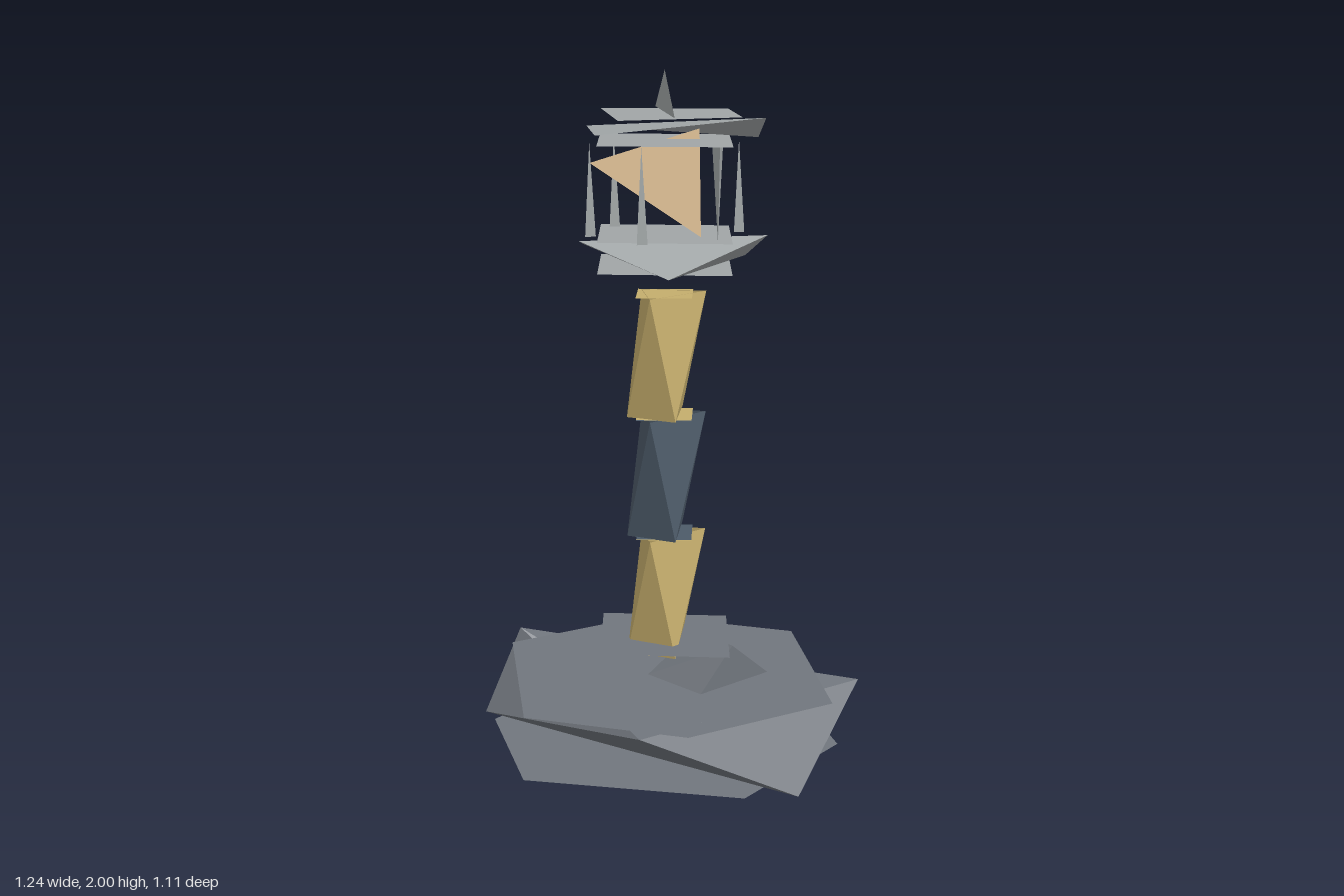
import * as THREE from 'three';

const material = (color) => new THREE.MeshStandardMaterial({ color, flatShading: true, side: THREE.DoubleSide });
const slate = material(0x71767d);
const steel = material(0xa0a5a6);
const sand = material(0xc4ad6c);
const navy = material(0x4c5a68);
const amber = material(0xceb083);

// Faceted shell from a few corner points and triangles between them
function facets(name, points, triangles, mat) {
  const geometry = new THREE.BufferGeometry();
  geometry.setAttribute('position', new THREE.Float32BufferAttribute(triangles.flat().flatMap((i) => points[i]), 3));
  geometry.computeVertexNormals();
  const mesh = new THREE.Mesh(geometry, mat);
  mesh.name = name;
  return mesh;
}

// Flat horizontal plate from [x, z] corners
function plate(name, corners, y, mat) {
  const fan = [];
  for (let i = 1; i < corners.length - 1; i++) fan.push([0, i + 1, i]);
  return facets(name, corners.map(([x, z]) => [x, y, z]), fan, mat);
}

const diamond = (rx, rz = rx) => [[rx, 0], [0, -rz], [-rx, 0], [0, rz]];

function createBase() {
  const base = new THREE.Group();
  base.name = 'base';
  const hexagon = [[0, -0.555], [-0.43, -0.32], [-0.525, 0.17], [0, 0.55], [0.43, 0.31], [0.525, -0.18]];
  base.add(plate('baseTop', hexagon, 0.19, slate));
  base.add(plate('baseBottom', hexagon.map(([x, z]) => [x, -z]).reverse(), 0, slate));
  // Skewed skirt: three upper and three lower corners
  base.add(facets('baseSkirt', [
    [-0.62, 0.19, 0.06], [0.35, 0.19, 0.42], [0.44, 0.19, -0.385],
    [-0.5, 0, 0.3], [-0.3, 0, -0.465], [0.62, 0, 0.06],
  ], [[1, 3, 5], [0, 3, 1], [1, 5, 2], [0, 4, 3], [0, 5, 4], [0, 2, 5]], slate));
  return base;
}

function createPlinth() {
  const plinth = new THREE.Group();
  plinth.name = 'plinth';
  plinth.add(plate('plinthTop', diamond(0.28, 0.26), 0.31, slate));
  plinth.add(facets('plinthSide', [
    [-0.02, 0.19, 0.05], [0.21, 0.19, 0.05], [0.21, 0.31, -0.08],
    [-0.05, 0.27, -0.17], [-0.12, 0.19, -0.23], [0.21, 0.19, -0.23],
  ], [[0, 1, 2], [0, 2, 3], [0, 3, 4], [1, 5, 2], [2, 5, 3]], slate));
  return plinth;
}

// Tower block: triangular antiprism with diamond end plates
function createTowerBlock(name, bottom, top, mat) {
  const block = new THREE.Group();
  block.name = name;
  block.add(facets('blockSide', [
    [0.05, top, 0.105], [0.05, top, -0.12], [-0.1, top, 0],
    [0.1, bottom, 0.05], [-0.05, bottom, 0.105], [-0.05, bottom, -0.12],
  ], [[0, 2, 4], [0, 4, 3], [0, 3, 1], [1, 3, 5], [1, 5, 2], [2, 5, 4]], mat));
  block.add(plate('blockTop', diamond(0.115), top - 0.001, mat));
  block.add(plate('blockBottom', diamond(0.115), bottom + 0.001, mat));
  return block;
}

function createGallery() {
  const gallery = new THREE.Group();
  gallery.name = 'gallery';
  gallery.add(plate('galleryFloor', diamond(0.28, 0.26), 1.53, steel));
  gallery.add(plate('galleryUnderside', diamond(0.28, 0.26), 1.44, steel));
  gallery.add(facets('galleryRim', [
    [0.21, 1.44, 0.18], [0.03, 1.44, -0.3], [-0.06, 1.53, 0.275], [0.22, 1.53, -0.2], [-0.27, 1.48, 0.08],
  ], [[2, 0, 3], [0, 1, 3], [4, 0, 2], [4, 3, 1]], steel));
  // Six tapering posts, alternately pointing up and down
  for (let i = 0; i < 6; i++) {
    const angle = (i * Math.PI) / 3;
    const post = new THREE.Mesh(new THREE.ConeGeometry(0.018, 0.27, 3, 1, true), steel);
    post.name = 'post';
    post.position.set(0.22 * Math.cos(angle), 1.665, 0.22 * Math.sin(angle));
    if (i % 2 === 0 && i !== 2) post.rotation.x = Math.PI;
    gallery.add(post);
  }
  return gallery;
}

function createRoof() {
  const roof = new THREE.Group();
  roof.name = 'roof';
  roof.add(plate('roofUnderside', diamond(0.28, 0.26), 1.8, steel));
  roof.add(plate('roofTop', [[0.235, -0.08], [0, -0.255], [-0.28, 0], [0.08, 0.25]], 1.875, steel));
  roof.add(facets('roofRim', [
    [0.21, 1.865, -0.2], [0.12, 1.8, -0.26], [-0.25, 1.83, 0.08], [0, 1.83, 0.265],
  ], [[0, 1, 2], [0, 2, 3]], steel));
  // Upright fin forming the peak
  roof.add(facets('roofPeak', [[-0.17, 1.88, -0.12], [0.17, 1.88, 0.12], [0, 2, 0]], [[0, 1, 2]], steel));
  return roof;
}

export function createModel() {
  const model = new THREE.Group();
  model.name = 'lighthouse';
  model.add(createBase(), createPlinth());
  [sand, navy, sand].forEach((mat, i) => {
    model.add(createTowerBlock('towerBlock', 0.27 + i * 0.362, 0.632 + i * 0.362, mat));
  });
  model.add(createGallery());
  model.add(facets('lantern', [[-0.18, 1.73, 0.13], [0.04, 1.83, -0.1], [0.12, 1.53, -0.03]], [[0, 2, 1]], amber));
  model.add(createRoof());
  return model;
}
